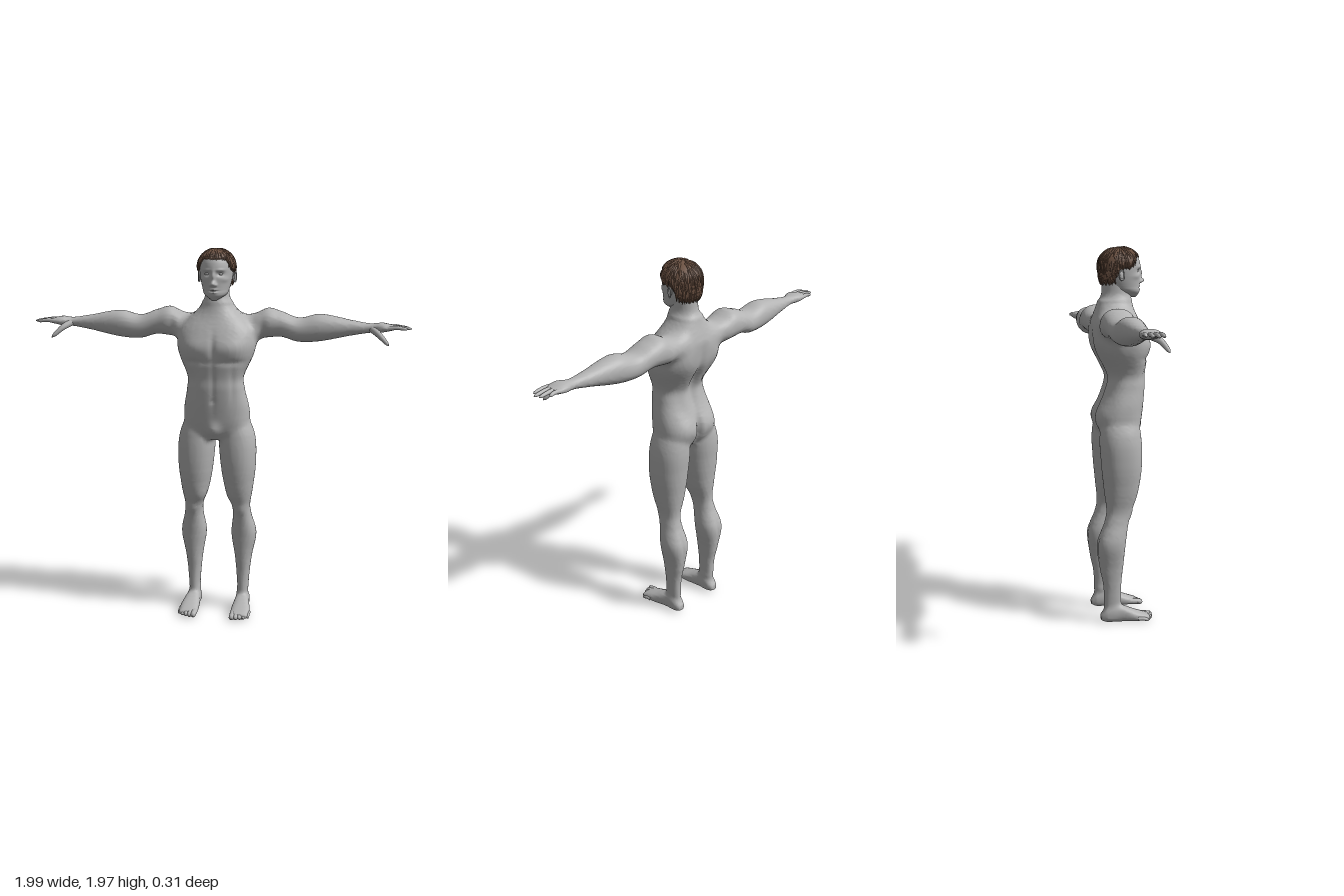
import * as THREE from 'three';
import { mergeGeometries, mergeVertices } from 'three/addons/utils/BufferGeometryUtils.js';

const skin = new THREE.MeshStandardMaterial({ color: 0xb4b4b4 });
skin.name = 'skin grey';
const brown = new THREE.MeshStandardMaterial({ color: 0x6e5343, side: THREE.DoubleSide });
brown.name = 'hair brown';

// Cross-sections [t, u0, u1, v0, v1] along one axis, joined by smooth curves
function profile(rows, samples = 300) {
  const last = rows.length - 1, t0 = rows[0][0], t1 = rows[last][0], table = [];
  const slope = (i, c) => {
    const a = rows[Math.max(i - 1, 0)], b = rows[Math.min(i + 1, last)];
    return (b[c] - a[c]) / (b[0] - a[0]);
  };
  for (let s = 0, i = 0; s <= samples; s++) {
    const t = t0 + (t1 - t0) * s / samples;
    while (i < last - 1 && t > rows[i + 1][0]) i++;
    const d = rows[i + 1][0] - rows[i][0], f = (t - rows[i][0]) / d, g = 1 - f;
    table.push([1, 2, 3, 4].map((c) => g * g * (1 + 2 * f) * rows[i][c] + f * f * (3 - 2 * f) * rows[i + 1][c]
      + d * f * g * (g * slope(i, c) - f * slope(i + 1, c))));
  }
  return { t0, t1, at: (t) => table[Math.round(THREE.MathUtils.clamp((t - t0) / (t1 - t0), 0, 1) * samples)] };
}
// Sections [y, halfWidth, back, front] of a part centred on x = 0
const centred = (rows) => rows.map(([y, w, back, front]) => [y, -w, w, back, front]);

// Approximate signed distance to a limb with superellipse sections
function limb(rows, n) {
  const p = profile(rows);
  return (t, u, v) => {
    const [u0, u1, v0, v1] = p.at(t);
    const a = Math.abs(u - (u0 + u1) / 2), b = Math.abs(v - (v0 + v1) / 2);
    const q = Math.max(((2 * a / (u1 - u0)) ** n + (2 * b / (v1 - v0)) ** n) ** (1 / n), 1e-3);
    const d = Math.hypot(a, b, 1e-5) * (1 - 1 / q), over = Math.max(p.t0 - t, t - p.t1, 0);
    return over > 0 ? Math.hypot(Math.max(d, 0), over) : d;
  };
}
const blend = (a, b, k) => Math.min(a, b) - Math.max(k - Math.abs(a - b), 0) ** 2 / (4 * k);

const torso = limb(centred([
  [.98, .05, -.08, .08], [1.03, .12, -.12, .1], [1.1, .17, -.13, .112], [1.25, .15, -.075, .127], [1.31, .146, -.07, .127],
  [1.43, .195, -.132, .142], [1.5, .205, -.146, .138], [1.57, .185, -.146, .11], [1.68, .07, -.105, .045],
]), 2.5);
const neck = limb(centred([[1.58, .08, -.12, .05], [1.7, .064, -.096, .058], [1.82, .062, -.09, .05]]), 2);
const arm = limb([
  [.1, 1.55, 1.61, -.12, -.03], [.2, 1.505, 1.635, -.145, .02], [.26, 1.508, 1.66, -.152, .022], [.33, 1.513, 1.642, -.148, .015],
  [.42, 1.49, 1.613, -.135, .015], [.53, 1.495, 1.634, -.13, .01], [.7, 1.53, 1.605, -.1, -.015], [.79, 1.545, 1.592, -.085, -.022],
  [.85, 1.549, 1.597, -.1, 0], [.91, 1.562, 1.584, -.098, -.006],
], 2.2);
const leg = limb([
  [.05, .11, .16, -.11, -.02], [.2, .1, .17, -.115, -.02], [.3, .09, .182, -.135, -.01], [.43, .071, .205, -.148, .003],
  [.54, .083, .183, -.108, .02], [.6, .08, .176, -.096, .038], [.7, .045, .192, -.105, .073], [.85, .02, .208, -.119, .094],
  [1, .015, .198, -.122, .09], [1.16, .06, .13, -.07, .06],
], 2.2);
const foot = limb([
  [-.128, .115, .155, .012, .045], [-.1, .102, .168, .002, .075], [-.03, .098, .174, 0, .09], [.05, .09, .19, 0, .06], [.13, .09, .188, .003, .03],
], 2.5);
function bodyField(x, y, z) {
  const ax = Math.abs(x);
  let d = blend(torso(y, ax, z), neck(y, ax, z), .06);
  d = blend(d, arm(ax, y, z), .05);
  return blend(d, blend(leg(y, ax, z), foot(z, ax, y), .02), .035);
}

function surface(pos, index) {
  const g = new THREE.BufferGeometry();
  g.setAttribute('position', new THREE.Float32BufferAttribute(pos, 3));
  g.setIndex(index);
  g.computeVertexNormals();
  return g;
}

// Wraps one continuous surface around a distance field
function wrap(field, min, max, h) {
  const n = max.map((m, i) => Math.ceil((m - min[i]) / h) + 1), step = [1, n[0], n[0] * n[1]];
  const val = new Float32Array(n[0] * n[1] * n[2]), vert = new Int32Array(val.length), pos = [], index = [];
  const each = (fn, lo, hi) => {
    for (let k = lo; k < n[2] - hi; k++) for (let j = lo; j < n[1] - hi; j++) for (let i = lo; i < n[0] - hi; i++) fn([i, j, k], i + j * step[1] + k * step[2]);
  };
  each((g, id) => { val[id] = field(...g.map((v, a) => min[a] + v * h)); }, 0, 0);
  // One point per crossed cell, pulled onto the surface
  each((g, id) => {
    const sum = [0, 0, 0];
    let count = 0;
    for (let c = 0; c < 8; c++) for (let a = 0; a < 3; a++) {
      if (c >> a & 1) continue;
      const o = [c & 1, c >> 1 & 1, c >> 2], p = id + o[0] + o[1] * step[1] + o[2] * step[2];
      const v = val[p], w = val[p + step[a]];
      if ((v < 0) === (w < 0)) continue;
      o[a] += v / (v - w);
      o.forEach((e, b) => { sum[b] += e; });
      count++;
    }
    if (!count) return;
    const p = sum.map((s, a) => min[a] + (g[a] + s / count) * h), e = .002, f = field(...p);
    const grad = p.map((v, a) => { const q = [...p]; q[a] += e; return (field(...q) - f) / e; });
    const len = Math.max(grad[0] ** 2 + grad[1] ** 2 + grad[2] ** 2, .3);
    vert[id] = pos.length / 3;
    pos.push(...p.map((v, a) => v - THREE.MathUtils.clamp(f * grad[a] / len, -h / 3, h / 3)));
  }, 0, 1);
  // One quad per crossed grid edge
  each((g, id) => {
    for (let a = 0; a < 3; a++) {
      if ((val[id] < 0) === (val[id + step[a]] < 0)) continue;
      const b = step[(a + 1) % 3], c = step[(a + 2) % 3];
      const q = [vert[id - b - c], vert[id - c], vert[id], vert[id - b]];
      if (val[id] >= 0) q.reverse();
      index.push(q[0], q[1], q[2], q[0], q[2], q[3]);
    }
  }, 1, 1);
  return surface(pos, index);
}

// Pushes soft mirrored bumps [x, y, z, width, height, amount] along the normals
function sculpt(g, bumps, depth) {
  const p = g.attributes.position, nm = g.attributes.normal;
  for (let i = 0; i < p.count; i++) {
    const x = Math.abs(p.getX(i)), y = p.getY(i), z = p.getZ(i);
    let d = 0;
    for (const [bx, by, bz, w, h, amt] of bumps) d += amt * Math.exp(-(((x - bx) / w) ** 2) - ((y - by) / h) ** 2 - ((z - bz) / depth) ** 2);
    p.setXYZ(i, p.getX(i) + nm.getX(i) * d, y + nm.getY(i) * d, z + nm.getZ(i) * d);
  }
  g.computeVertexNormals();
  return g;
}
const chest = [
  [.09, 1.465, .13, .08, .045, .012], [0, 1.47, .14, .014, .07, -.007], [.09, 1.395, .13, .08, .014, -.007],
  [0, 1.27, .13, .012, .11, -.005], [.1, 1.28, .1, .015, .09, -.005], [0, 1.19, .13, .01, .01, -.008],
  [0, 1.035, .1, .03, .035, .016], [.235, 1.57, .02, .02, .05, -.006],
];
const back = [
  [0, 1.36, -.1, .022, .2, -.016], [.05, 1.28, -.08, .03, .12, .007], [.11, 1.49, -.14, .05, .06, .008],
  [.085, 1.09, -.12, .06, .065, .014], [0, 1.06, -.13, .016, .075, -.03],
];
const legs = [[.13, .58, .03, .025, .03, .006], [.08, .66, .04, .03, .04, .006], [.14, .42, -.14, .012, .08, -.006], [.098, .1, -.06, .02, .018, .006]];
const face = [
  [0, 1.832, .11, .01, .025, .013], [0, 1.795, .11, .011, .013, .026], [.012, 1.788, .105, .007, .007, .009],
  [.034, 1.842, .1, .017, .011, -.011], [.035, 1.863, .1, .024, .007, .004], [0, 1.765, .11, .02, .005, .005],
  [0, 1.749, .11, .017, .005, .005], [0, 1.757, .11, .025, .003, -.004], [.055, 1.815, .08, .02, .014, .004],
];

// Grid of rings, each point given by a rule
function rings(count, around, point) {
  const pos = [], index = [];
  for (let r = 0; r <= count; r++) for (let i = 0; i < around; i++) {
    const b = r * around + i, c = r * around + (i + 1) % around;
    pos.push(...point(r / count, 2 * Math.PI * i / around));
    if (r < count) index.push(b, b + around, c, c, b + around, c + around);
  }
  return surface(pos, index);
}
const skull = profile(centred([
  [1.708, .012, .06, .088], [1.735, .055, -.03, .106], [1.765, .069, -.07, .106], [1.84, .085, -.1, .109],
  [1.88, .086, -.1, .11], [1.92, .076, -.088, .094], [1.945, .05, -.055, .062], [1.956, .002, 0, .004],
]));
function headPoint(f, a) {
  const y = skull.t0 + (skull.t1 - skull.t0) * (.5 - .5 * Math.cos(Math.PI * f)), [, w, v0, v1] = skull.at(y);
  return [w * Math.cos(a), y, (v0 + v1) / 2 + (v1 - v0) / 2 * Math.sin(a)];
}

// Tapered round-tipped tube for fingers, toes and locks of hair
function digit(points, r0, r1, seg = 12, sides = 10) {
  const curve = new THREE.CatmullRomCurve3(points.map((p) => new THREE.Vector3(...p)));
  const g = new THREE.TubeGeometry(curve, seg, 1, sides), p = g.attributes.position, v = new THREE.Vector3();
  for (let i = 0; i < p.count; i++) {
    const t = Math.floor(i / (sides + 1)) / seg, c = curve.getPointAt(t);
    const r = THREE.MathUtils.lerp(r0, r1, t) * Math.sqrt(1 - Math.max(0, (t - .8) / .201) ** 2);
    v.fromBufferAttribute(p, i).sub(c).multiplyScalar(r).add(c);
    p.setXYZ(i, v.x, v.y, v.z);
  }
  g.deleteAttribute('uv');
  g.deleteAttribute('normal');
  const m = mergeVertices(g, 1e-5);
  m.computeVertexNormals();
  return m;
}

// Hair dome: a is the angle from the front, s runs from the crown to the hem
function hem(a) {
  const c = Math.cos(a), ss = THREE.MathUtils.smoothstep;
  return .69 - .27 * ss(c, .35, .8) + .3 * ss(-c, .05, .6);
}
function hairPoint(a, s, lift) {
  const low = Math.max(0, (s - .6) / .4), phi = Math.min(s / .6, 1) * Math.PI / 2, r = Math.sin(phi) * (1 - .12 * low * low);
  return [Math.sin(a) * (.091 + lift) * r, 1.875 + (.084 + lift) * Math.cos(phi) - .1 * low, .002 + Math.cos(a) * (.108 + lift) * r];
}

export function createModel() {
  const model = new THREE.Group();
  const add = (name, geo, mat = skin) => {
    const m = new THREE.Mesh(geo, mat);
    m.name = name;
    model.add(m);
    return m;
  };

  // Torso, arms and legs with muscles, then the head
  add('body', sculpt(wrap(bodyField, [-.945, -.025, -.19], [.945, 1.85, .19], .0105), [...chest, ...back, ...legs], .055));
  add('head', sculpt(rings(110, 120, headPoint), face, .04));

  for (const s of [-1, 1]) {
    const side = s > 0 ? 'left' : 'right';
    const eye = add(side + 'Eye', new THREE.SphereGeometry(1, 24, 16));
    eye.scale.set(.014, .008, .011);
    eye.position.set(s * .034, 1.842, .083);
    const ear = add(side + 'Ear', new THREE.SphereGeometry(1, 20, 16));
    ear.scale.set(.007, .027, .015);
    ear.position.set(s * .09, 1.82, -.006);
    ear.rotation.set(-.2, s * -.3, 0);
    const rim = add(side + 'EarRim', new THREE.TorusGeometry(.018, .0035, 8, 28));
    rim.scale.set(.75, 1.4, 1);
    rim.position.set(s * .095, 1.823, -.008);
    rim.rotation.y = Math.PI / 2 - s * .3;

    // Fingers and thumb
    [.978, .997, .988, .95].forEach((tip, i) => {
      const z = -.013 - .025 * i;
      add(side + 'Finger' + (i + 1), digit([[s * .87, 1.573, z], [s * .92, 1.577, z], [s * tip, 1.57, z * 1.06]], .0125, .008));
    });
    add(side + 'Thumb', digit([[s * .8, 1.565, -.035], [s * .835, 1.54, .005], [s * .885, 1.492, .036]], .02, .009));

    // Toes shrink and step back towards the outside
    for (let i = 0; i < 5; i++) {
      const x = s * (.105 + .0205 * i), z = .156 - .0022 * i * i, r = .0165 - .0015 * i;
      add(side + 'Toe' + (i + 1), digit([[x, .022, z - .06], [x, .02, z - .03], [x, r * .9, z]], r, r * .85));
    }
  }

  // Hair cap following the hairline, tucked in at the hem
  add('hairCap', rings(24, 72, (f, a) => hairPoint(a, Math.max(.004, hem(a) * f), f === 1 ? -.012 : .004)), brown);

  // Overlapping locks that flow out from the crown
  let seed = 7;
  const rnd = () => (seed = seed * 16807 % 2147483647) / 2147483647;
  const locks = [];
  for (let i = 0; i < 260; i++) {
    const a = 2 * Math.PI * (i * .618 % 1), end = hem(a) * (i % 2 ? 1 + .05 * rnd() : .35 + .6 * rnd());
    const start = Math.max(.03, end - .3), swirl = (rnd() - .5) * .3;
    locks.push(digit([0, .35, .7, 1].map((t) => hairPoint(a + swirl * t, start + (end - start) * t, .001 + .006 * Math.sin(t * 2.6))), .007, .003, 7, 5));
  }
  add('hairLocks', mergeGeometries(locks), brown);
  return model;
}
